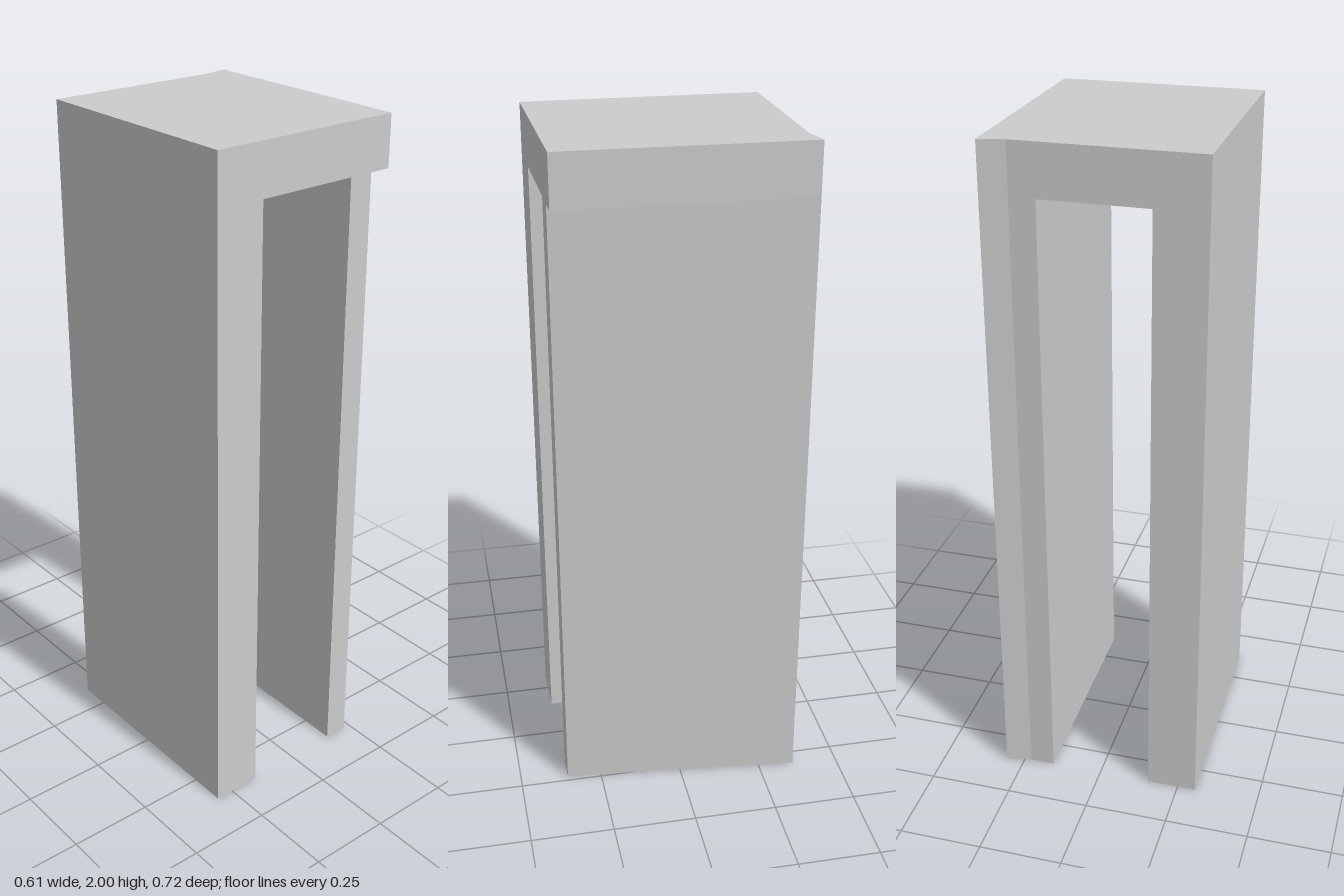
import * as THREE from 'three';

const H = 2, UNDERSIDE = 1.85;
const material = new THREE.MeshStandardMaterial({ color: 0xcccccc, flatShading: true });

// Vertical prism from a floor plan of [x, z] corners
function prism(name, plan, bottom, top) {
  const shape = new THREE.Shape(plan.map(([x, z]) => new THREE.Vector2(x, -z)));
  const geometry = new THREE.ExtrudeGeometry(shape, { depth: top - bottom, bevelEnabled: false });
  geometry.rotateX(-Math.PI / 2).translate(0, bottom, 0);
  const mesh = new THREE.Mesh(geometry, material);
  mesh.name = name;
  return mesh;
}

// The front face runs very slightly back towards +x
const frontZ = (x) => THREE.MathUtils.mapLinear(x, -0.305, 0.296, 0.36, 0.353);
const front = (x) => [x, frontZ(x)];

export function createModel() {
  const group = new THREE.Group();
  group.name = 'archBlock';
  const back = -0.343, backCorner = [0.305, -0.36];

  // Lintel across the full width, overhanging the tapered leg
  group.add(prism('lintel',
    [[-0.305, back], [0.23, back], backCorner, front(0.296), front(-0.305)], UNDERSIDE, H));

  // Straight leg
  group.add(prism('rightLeg',
    [[-0.305, back], [-0.155, back], front(-0.155), front(-0.305)], 0, UNDERSIDE));

  // Leg whose outer face slants inwards to the front
  group.add(prism('leftLeg',
    [[0.155, back], [0.23, back], backCorner, front(0.23), front(0.155)], 0, UNDERSIDE));

  return group;
}
